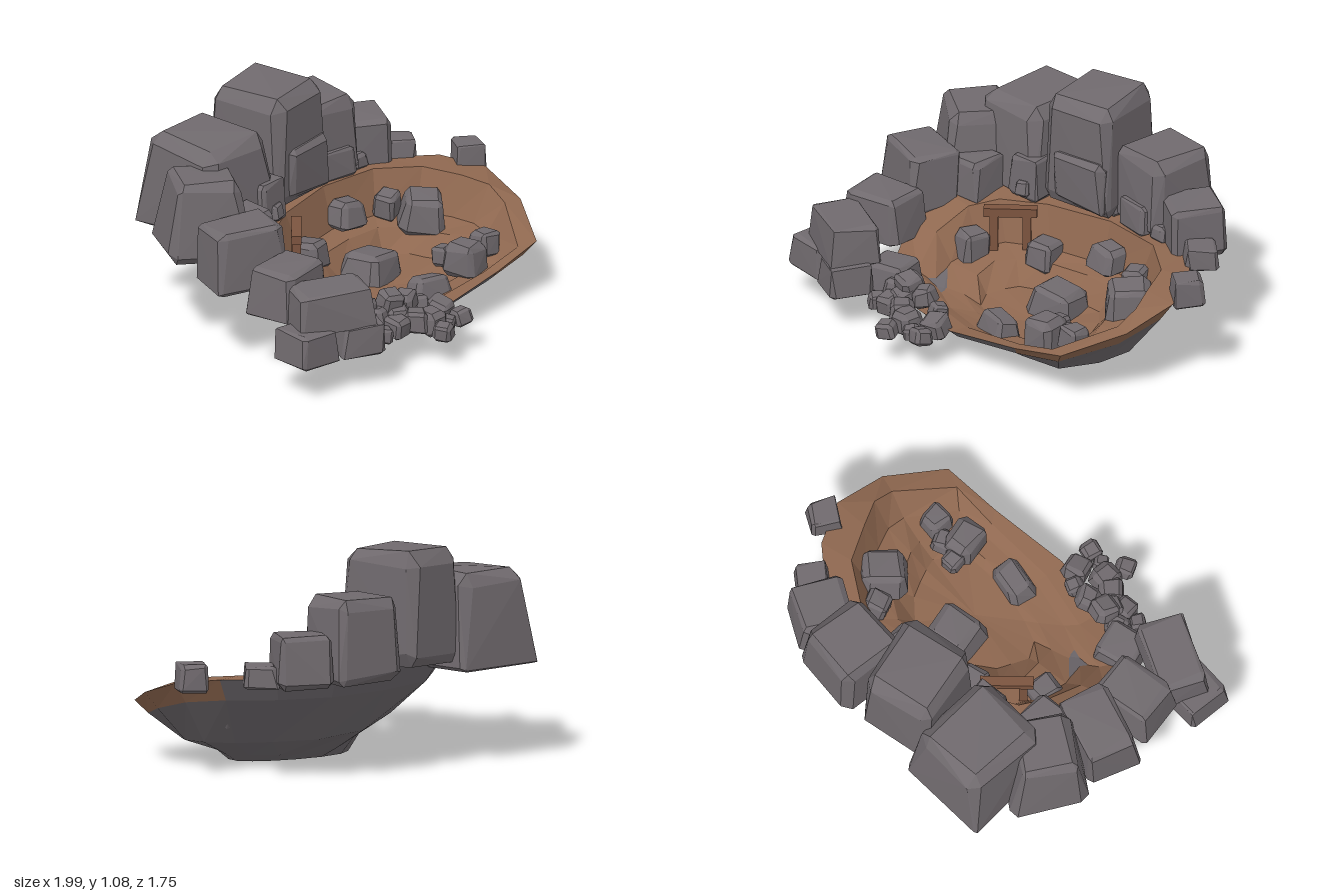
import * as THREE from 'three';
import { ConvexGeometry } from 'three/addons/geometries/ConvexGeometry.js';

const mat = (name, color, side = THREE.FrontSide) => {
  const m = new THREE.MeshStandardMaterial({ color, flatShading: true, side });
  m.name = name;
  return m;
};

export function createModel() {
  const root = new THREE.Group();
  const stone = mat('stone grey', 0x706a6e);
  const bedrock = mat('bedrock grey', 0x6c676b, THREE.DoubleSide);
  const earth = mat('earth brown', 0x8f6850, THREE.DoubleSide);
  const wood = mat('timber brown', 0x7c543f);

  let seed = 7;
  const rnd = () => (seed = (seed * 16807) % 2147483647) / 2147483647 - 0.5;

  // Boulder: a box with irregularly cut corners; a smaller cut factor gives a rounder stone
  function boulder(name, parent, [x, y, z, w, h, d, ry = 0, taper = 0.1], cut, tilt) {
    const pts = [];
    for (const sx of [-1, 1]) for (const sy of [-1, 1]) for (const sz of [-1, 1]) {
      const c = cut + rnd() * 0.2;
      for (let k = 0; k < 3; k++) {
        const f = [0, 1, 2].map(i => i === k ? 0.98 + rnd() * 0.1 : c + rnd() * 0.12);
        const s = sy > 0 ? 1 - taper : 1;
        pts.push(new THREE.Vector3(sx * f[0] * s * w / 2, sy * f[1] * h / 2, sz * f[2] * s * d / 2));
      }
    }
    const m = new THREE.Mesh(new ConvexGeometry(pts), stone);
    m.name = name;
    m.position.set(x, y, z);
    m.rotation.set(rnd() * tilt, ry, rnd() * tilt);
    parent.add(m);
  }
  function boulders(name, list, cut, tilt) {
    const g = new THREE.Group();
    g.name = name + 's';
    list.forEach((r, i) => boulder(`${name}${i + 1}`, g, r, cut, tilt));
    root.add(g);
  }

  // Skin between successive closed rings; pick selects the segments to build
  function loft(name, rings, material, pick = () => true) {
    const pos = [], n = rings[0].length;
    for (let r = 0; r + 1 < rings.length; r++) for (let i = 0; i < n; i++) {
      if (!pick(i, r)) continue;
      const j = (i + 1) % n, a = rings[r], b = rings[r + 1];
      pos.push(...a[i], ...b[i], ...a[j], ...a[j], ...b[i], ...b[j]);
    }
    const geo = new THREE.BufferGeometry();
    geo.setAttribute('position', new THREE.Float32BufferAttribute(pos, 3));
    geo.computeVertexNormals();
    const m = new THREE.Mesh(geo, material);
    m.name = name;
    root.add(m);
  }
  const shrink = (ring, cx, cz, sx, sz, fy, jit = 0) => ring.map(([x, y, z]) =>
    [cx + (x - cx) * (sx + rnd() * jit), fy(y, x) + rnd() * jit * 0.2, cz + (z - cz) * (sz + rnd() * jit)]);

  // Crater: outer rim and inner lip, from the right-hand tip round by the front
  const rim = [[0.98, 0.37, -0.03], [0.88, 0.28, 0.28], [0.6, 0.22, 0.38], [0.22, 0.18, 0.53],
    [-0.1, 0.18, 0.56], [-0.4, 0.25, 0.51], [-0.55, 0.38, 0.33], [-0.6, 0.46, 0.1],
    [-0.6, 0.49, -0.15], [-0.42, 0.49, -0.42], [-0.1, 0.49, -0.59], [0.25, 0.48, -0.64],
    [0.55, 0.48, -0.6], [0.8, 0.48, -0.48], [0.95, 0.45, -0.3]];
  const lip = [[0.89, 0.37, -0.03], [0.78, 0.27, 0.27], [0.55, 0.21, 0.33], [0.2, 0.17, 0.43],
    [-0.1, 0.17, 0.44], [-0.35, 0.22, 0.4], [-0.43, 0.36, 0.25], [-0.44, 0.45, 0.07],
    [-0.4, 0.47, -0.08], [-0.22, 0.48, -0.25], [0.1, 0.49, -0.42], [0.42, 0.49, -0.48],
    [0.65, 0.48, -0.4], [0.78, 0.46, -0.25], [0.87, 0.43, -0.14]];
  const ledge = shrink(lip, 0.22, 0, 0.86, 0.86, y => y * 0.42 + 0.075, 0.03);
  const shelf = shrink(lip, 0.22, 0, 0.64, 0.64, y => y * 0.38 + 0.07, 0.08);
  const floor = shrink(lip, 0.22, 0.04, 0.5, 0.5, y => y * 0.1 + 0.1, 0.06);
  const middle = shrink(floor, 0.22, 0.04, 0, 0, () => 0.11);
  loft('craterBowl', [rim, lip, ledge, shelf, floor, middle], earth);

  // Rock underside, with an earthen edge at the right-hand tip
  const band = shrink(rim, 0.18, 0.04, 0.91, 0.91, y => y * 0.77);
  const mid = shrink(rim, 0.18, 0.04, 0.72, 0.62, (y, x) => 0.05 + 0.17 * y + Math.max(0, -x) * 0.2, 0.09);
  const low = shrink(rim, 0.18, 0.04, 0.47, 0.4, (y, x) => 0.05 + Math.max(0, -x) * 0.1, 0.09);
  const base = shrink(rim, 0.18, 0.04, 0.4, 0.25, () => 0);
  const bottom = shrink(rim, 0.18, 0.04, 0, 0, () => 0);
  const tip = i => i < 2 || i > 12;
  loft('underside', [bottom, base, low, mid, band, rim], bedrock, (i, r) => r < 4 || !tip(i));
  loft('earthEdge', [band, rim], earth, tip);

  // Ring of boulders: x, y, z, width, height, depth, turn, taper
  boulders('wallBoulder', [
    [-0.57, 0.69, -0.4, 0.48, 0.48, 0.54, 0.25, 0.14],
    [-0.17, 0.79, -0.51, 0.4, 0.57, 0.44, 0.45, 0.02],
    [0.18, 0.67, -0.67, 0.37, 0.41, 0.38, 0.15, 0.08],
    [0.46, 0.58, -0.68, 0.28, 0.26, 0.29, -0.25, 0.08],
    [0.65, 0.51, -0.62, 0.17, 0.11, 0.17, -0.4],
    [0.91, 0.49, -0.4, 0.15, 0.14, 0.16, -0.3],
    [-0.75, 0.64, -0.14, 0.44, 0.4, 0.4, -0.35, 0.28],
    [-0.73, 0.54, 0.17, 0.39, 0.31, 0.28, -0.08],
    [-0.63, 0.43, 0.43, 0.34, 0.25, 0.27, 0.4],
    [-0.55, 0.41, 0.69, 0.41, 0.2, 0.26, -0.2],
    [-0.71, 0.25, 0.73, 0.24, 0.17, 0.24, 0.2],
    [-0.43, 0.25, 0.75, 0.23, 0.17, 0.22, -0.2],
    [-0.33, 0.25, 0.54, 0.23, 0.15, 0.22, 0.5],
    [-0.36, 0.59, -0.24, 0.19, 0.21, 0.17, 0.4],
    [-0.09, 0.66, -0.43, 0.32, 0.27, 0.28, 0.4, 0.02],
    [0.22, 0.56, -0.53, 0.2, 0.15, 0.15, 0.1],
    [-0.56, 0.55, -0.04, 0.2, 0.2, 0.22, 0.3],
  ], 0.82, 0.06);
  boulders('rimStone', [[0.03, 0.53, -0.48, 0.08, 0.08, 0.08], [-0.33, 0.54, -0.18, 0.08, 0.08, 0.08, 0.5],
    [0.37, 0.52, -0.55, 0.1, 0.08, 0.08, 0.3]], 0.65, 0.4);

  // Stones resting inside the crater
  boulders('craterStone', [
    [0.17, 0.16, -0.1, 0.28, 0.18, 0.25, 0.4, 0.2],
    [0.19, 0.35, -0.36, 0.19, 0.14, 0.17, 0.2, 0.2],
    [0.44, 0.34, -0.38, 0.13, 0.13, 0.12, 0.6],
    [0.57, 0.31, -0.27, 0.23, 0.19, 0.25, -0.5, 0.2],
    [-0.13, 0.27, -0.18, 0.16, 0.15, 0.17, 0.5],
    [-0.35, 0.27, 0.1, 0.15, 0.2, 0.16, 0.1],
    [0.26, 0.17, 0.28, 0.23, 0.13, 0.15, 0.05, 0.2],
    [0.54, 0.23, 0.17, 0.17, 0.17, 0.2, 0.4],
    [0.48, 0.22, 0.07, 0.1, 0.1, 0.1, 0.3],
    [0.59, 0.22, 0.08, 0.11, 0.1, 0.11, 0.7],
    [0.69, 0.25, 0.1, 0.13, 0.13, 0.14, 0.2],
  ], 0.66, 0.3);

  // Rubble spilling over the front: x, y, z, size
  boulders('rubbleStone', [[-0.13, 0.29, 0.56, 0.13], [-0.03, 0.26, 0.53, 0.12], [0.07, 0.22, 0.51, 0.09],
    [0.15, 0.19, 0.57, 0.13], [-0.24, 0.18, 0.68, 0.09], [-0.15, 0.2, 0.66, 0.12], [-0.04, 0.2, 0.65, 0.13],
    [0.04, 0.19, 0.67, 0.14], [0.12, 0.17, 0.69, 0.08], [0.2, 0.18, 0.68, 0.1], [0.04, 0.17, 0.78, 0.1],
    [-0.12, 0.23, 0.6, 0.12], [-0.22, 0.23, 0.58, 0.12]]
    .map(([x, y, z, s], i) => [x, y, z, s, s * 0.85, s, i * 0.7]), 0.62, 0.5);

  // Timber doorway against the left wall
  const door = new THREE.Group();
  door.name = 'timberDoorway';
  const beam = (name, x, y, w, h, d) => {
    const m = new THREE.Mesh(new THREE.BoxGeometry(w, h, d), wood);
    m.name = name;
    m.position.set(x, y, 0);
    door.add(m);
  };
  beam('doorLintel', 0, 0.465, 0.26, 0.045, 0.05);
  for (const s of [-1, 1]) beam('doorPost', s * 0.08, 0.32, 0.04, 0.27, 0.045);
  door.position.set(-0.27, 0, -0.07);
  door.rotation.y = 1.02;
  root.add(door);

  return root;
}
